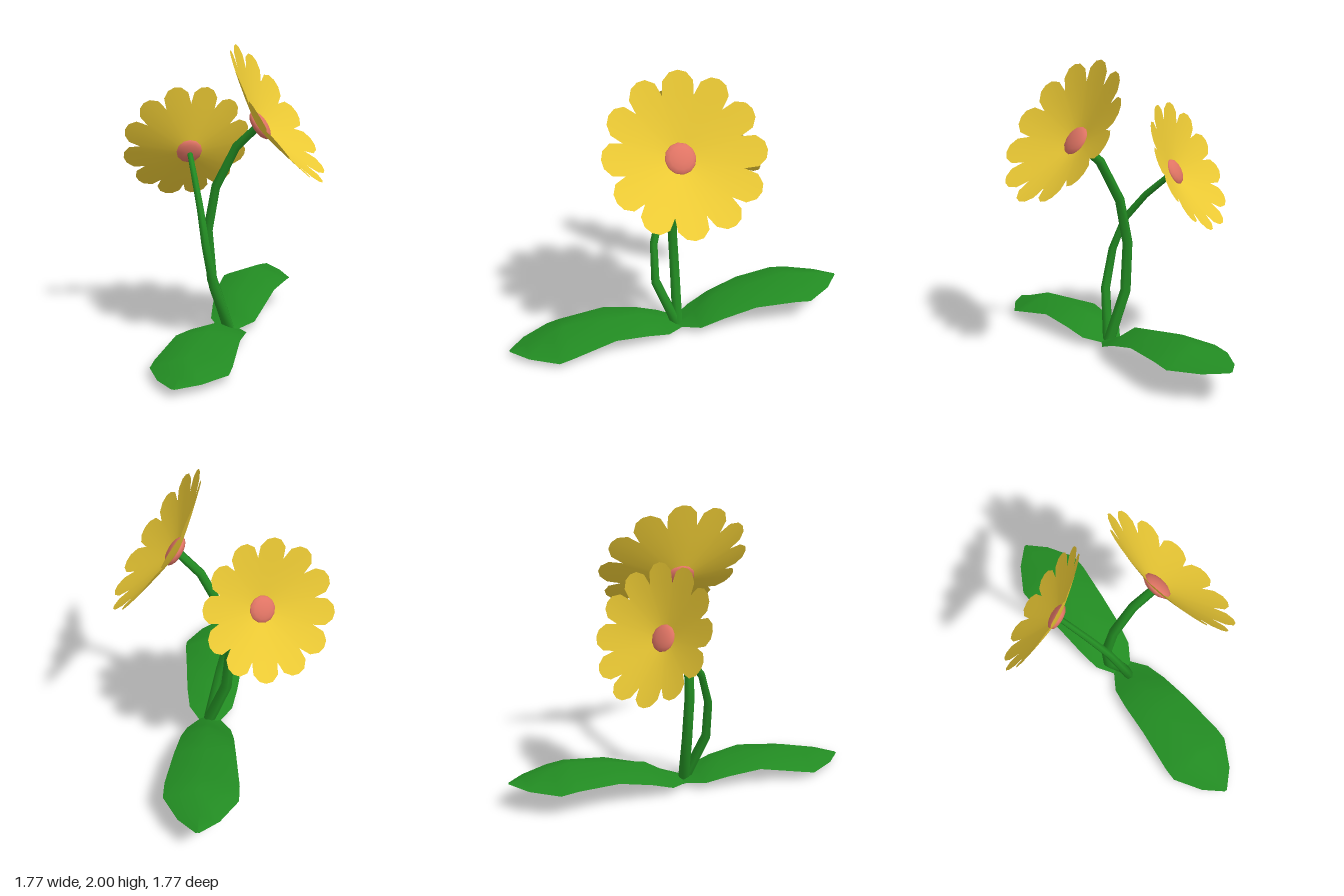
import * as THREE from 'three';

const V = (x, y, z) => new THREE.Vector3(x, y, z);
const paint = (color) => new THREE.MeshStandardMaterial({ color, side: THREE.DoubleSide });

function part(name, geometry, material) {
  const mesh = new THREE.Mesh(geometry, material);
  mesh.name = name;
  return mesh;
}

// Joins equal rows of points into one smooth surface
function loft(rows, closed) {
  const n = rows[0].length;
  const index = [];
  for (let i = 0; i < rows.length - 1; i++) {
    for (let j = 0; j < (closed ? n : n - 1); j++) {
      const k = (j + 1) % n;
      const a = i * n + j, b = i * n + k, c = a + n, d = b + n;
      index.push(a, b, c, b, d, c);
    }
  }
  const geo = new THREE.BufferGeometry().setFromPoints(rows.flat());
  geo.setIndex(index);
  geo.computeVertexNormals();
  return geo;
}

// Shallow cup whose rim is cut into round petals
function petalGeometry(radius, depth) {
  const petals = 12;
  const rim = [0.74, 0.9, 0.98, 1, 0.98, 0.9];
  const steps = [-0.5, -0.4, -0.2, 0, 0.2, 0.4];
  const rows = [0.02, 0.25, 0.5, 0.72, 1].map((f) => {
    const row = [];
    for (let p = 0; p < petals; p++) {
      steps.forEach((t, i) => {
        const a = ((p + t) / petals) * Math.PI * 2;
        const r = f === 1 ? rim[i] : f;
        row.push(V(Math.cos(a) * r * radius, depth * Math.pow(r, 1.15), -Math.sin(a) * r * radius));
      });
    }
    return row;
  });
  return loft(rows, true);
}

// Bloom facing along its normal, with a flattened dome in the middle
function makeFlower(name, { base, normal, radius, depth, phase }, yellow, pink) {
  const flower = new THREE.Group();
  flower.name = name;
  const petals = part('petals', petalGeometry(radius, depth), yellow);
  petals.rotation.y = phase;
  const centre = part('flowerCentre', new THREE.SphereGeometry(radius * 0.2, 12, 8), pink);
  centre.scale.y = 0.4;
  centre.position.y = radius * 0.035;
  flower.add(petals, centre);

  const n = normal.clone().normalize();
  const u = V(0, 1, 0).cross(n).normalize();
  const w = u.clone().cross(n);
  flower.quaternion.setFromRotationMatrix(new THREE.Matrix4().makeBasis(u, n, w));
  flower.position.copy(base);
  return flower;
}

// Bent six-sided tube, tapering from r0 to r1
function stemGeometry(points, r0, r1) {
  const sides = 6;
  const rows = points.map((p, i) => {
    const before = points[Math.max(i - 1, 0)];
    const after = points[Math.min(i + 1, points.length - 1)];
    const dir = after.clone().sub(before).normalize();
    const side = dir.clone().cross(V(0, 0, 1)).normalize();
    const front = side.clone().cross(dir);
    const r = THREE.MathUtils.lerp(r0, r1, i / (points.length - 1));
    return Array.from({ length: sides }, (_, j) => {
      const a = (j / sides) * Math.PI * 2;
      return p.clone().addScaledVector(side, Math.cos(a) * r).addScaledVector(front, -Math.sin(a) * r);
    });
  });
  return loft(rows, true);
}

// Leaf sections: distance out, half width, ridge height, edge height
function leafGeometry(sections, turn) {
  const rows = sections.map(([s, w, ridge, edge]) => [V(s, edge, -w), V(s, ridge, 0), V(s, edge, w)]);
  const geo = loft(rows, false);
  geo.rotateY(turn);
  return geo;
}

export function createModel() {
  const model = new THREE.Group();
  model.name = 'flowerPlant';
  const green = paint(0x228b22);
  const yellow = paint(0xebc934);
  const pink = paint(0xe07464);

  // Leaves on the diagonal
  model.add(part('backLeaf', leafGeometry([
    [-0.03, 0.06, 0.02, 0.02],
    [0.12, 0.16, 0.09, 0.045],
    [0.28, 0.19, 0.2, 0.11],
    [0.52, 0.215, 0.235, 0.175],
    [0.81, 0.25, 0.28, 0.185],
    [0.93, 0.25, 0.26, 0.17],
    [1.12, 0.135, 0.225, 0.18],
    [1.235, 0.01, 0.2, 0.195],
  ], Math.PI / 4), green));
  model.add(part('frontLeaf', leafGeometry([
    [-0.03, 0.06, 0.02, 0.02],
    [0.12, 0.16, 0.07, 0.04],
    [0.28, 0.19, 0.145, 0.08],
    [0.52, 0.215, 0.155, 0.11],
    [0.84, 0.25, 0.155, 0.05],
    [0.93, 0.25, 0.125, 0.03],
    [1.12, 0.135, 0.06, 0.03],
    [1.235, 0.01, 0.03, 0.03],
  ], Math.PI * 1.25), green));

  // Stems
  model.add(part('frontStem', stemGeometry([
    V(0, 0, 0.02), V(-0.08, 0.37, -0.09), V(-0.105, 0.71, -0.1),
    V(-0.07, 1.02, -0.05), V(0.02, 1.3, 0.07), V(0.1, 1.43, 0.19),
  ], 0.042, 0.03), green));
  model.add(part('backStem', stemGeometry([
    V(0, 0, 0.02), V(-0.155, 0.36, 0.065), V(-0.19, 0.64, 0.02),
    V(-0.18, 0.87, -0.07), V(-0.14, 1.05, -0.22), V(-0.08, 1.22, -0.41),
  ], 0.038, 0.02), green));

  // Blooms
  model.add(makeFlower('frontFlower', {
    base: V(0.11, 1.44, 0.2), normal: V(0.59, 0.56, 0.58), radius: 0.54, depth: 0.17, phase: -0.07,
  }, yellow, pink));
  model.add(makeFlower('backFlower', {
    base: V(-0.08, 1.22, -0.41), normal: V(0.25, 0.45, -0.86), radius: 0.465, depth: 0.14, phase: 0.26,
  }, yellow, pink));

  return model;
}
